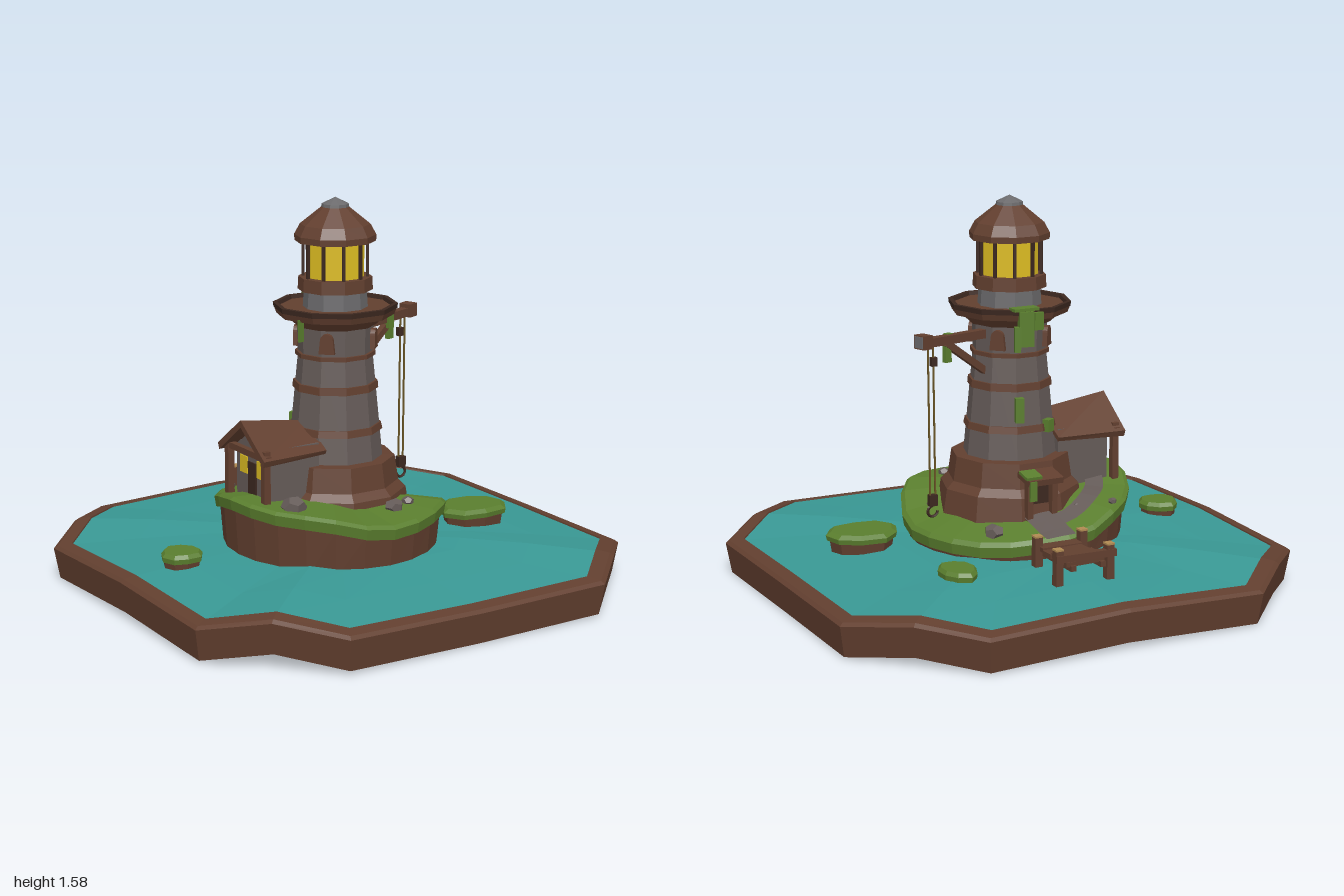
import * as THREE from 'three';

const mat = (name, color, side = THREE.FrontSide) => {
  const m = new THREE.MeshStandardMaterial({ color, side });
  m.name = name;
  return m;
};

export function createModel() {
  const root = new THREE.Group();
  root.name = 'lighthouseIsland';
  const wood = mat('brown', 0x623f2f), dark = mat('darkBrown', 0x3c2820);
  const stone = mat('stoneGrey', 0x655b58), slate = mat('slate', 0x6b6a6c);
  const grass = mat('grassGreen', 0x5a7e2e), water = mat('waterTeal', 0x399894);
  const glow = mat('lampYellow', 0xdcbc22), cut = mat('cutWood', 0xb08a52);
  const rope = mat('rope', 0x6a5626);

  // Helpers: every part is faceted
  const add = (name, geo, material, x = 0, y = 0, z = 0, parent = root) => {
    const g = geo.index ? geo.toNonIndexed() : geo;
    g.computeVertexNormals();
    const m = new THREE.Mesh(g, material);
    m.name = name;
    m.position.set(x, y, z);
    parent.add(m);
    return m;
  };
  const box = (name, w, h, d, material, x, y, z, parent) =>
    add(name, new THREE.BoxGeometry(w, h, d), material, x, y, z, parent);
  const beam = (name, a, b, w, h, material) => {
    const p = new THREE.Vector3(...a), q = new THREE.Vector3(...b);
    const m = box(name, w, h, p.distanceTo(q), material, ...p.clone().lerp(q, 0.5).toArray());
    m.lookAt(q);
    return m;
  };
  // Skin over rows of points, outside first, running from +x towards +z
  const loft = (rows, closed = true) => {
    const n = rows[0].length, idx = [];
    for (let i = 0; i < rows.length - 1; i++)
      for (let j = 0; j < (closed ? n : n - 1); j++) {
        const a = i * n + j, b = i * n + (j + 1) % n;
        idx.push(a, a + n, b, b, a + n, b + n);
      }
    const g = new THREE.BufferGeometry();
    g.setAttribute('position', new THREE.Float32BufferAttribute(rows.flat(2), 3));
    g.setIndex(idx);
    return g;
  };

  // Octagonal tray with a gently waving rim
  const outline = [[1, 0], [1, .59], [.8, .8], [.59, 1], [0, 1], [-.59, 1], [-.8, .8], [-1, .59],
    [-1, 0], [-1, -.59], [-.8, -.8], [-.59, -1], [0, -1], [.59, -1], [.8, -.8], [1, -.59]];
  const lift = [0, -.005, .03, .005, 0, .01, .055, .005, .02, 0, .03, 0, .02, 0, .03, 0];
  const oct = (s, y, k = 1) => outline.map(([x, z], i) => [x * s, y + lift[i] * k, z * s]);
  add('trayWall', loft([oct(0, .03, 0), oct(.98, .005), oct(1, .13), oct(.985, .142), oct(.935, .152), oct(.93, .13)]), wood);
  add('water', loft([oct(.936, .146), oct(.7, .168, .7), oct(.45, .185, .3), oct(0, .185, 0)]), water);

  // Main island: edge height changes with direction
  const CX = -.06, CZ = .04, R = .47, N = 24;
  const edge = [.26, .37, .35, .41, .43, .36, .28, .255];
  const edgeY = a => {
    const t = ((a / (Math.PI / 4)) % 8 + 8) % 8, i = Math.floor(t);
    const f = (1 - Math.cos((t - i) * Math.PI)) / 2;
    return edge[i] * (1 - f) + edge[(i + 1) % 8] * f;
  };
  const groundY = (x, z) => {
    const f = Math.min(1, Math.hypot(x - CX, z - CZ) / R);
    return THREE.MathUtils.lerp(.4, edgeY(Math.atan2(z - CZ, x - CX)), f);
  };
  const isle = (f, fy) => Array.from({ length: N }, (_, j) => {
    const a = j / N * Math.PI * 2;
    return [CX + Math.cos(a) * R * f, fy(a), CZ + Math.sin(a) * R * f];
  });
  add('islandCliff', loft([isle(.92, () => .15), isle(.95, a => edgeY(a) - .05), isle(.8, a => edgeY(a) - .03)]), wood);
  const slope = f => a => THREE.MathUtils.lerp(.4, edgeY(a), f);
  add('islandGrass', loft([isle(.9, a => edgeY(a) - .06), isle(.985, a => edgeY(a) - .055),
    isle(1, a => edgeY(a) - .012), isle(.965, slope(.965)), isle(.6, slope(.6)), isle(0, () => .4)]), grass);

  // Stone paths lying on the grass
  const onGround = (x, z) => [x, groundY(x, z) + .012, z];
  const arcRow = r => Array.from({ length: 10 }, (_, j) => {
    const a = THREE.MathUtils.degToRad(198 + j * 8);
    return onGround(-.03 + Math.cos(a) * r, .03 + Math.sin(a) * r);
  });
  add('curvedPath', loft([.385, .35, .31].map(arcRow), false), stone);
  add('straightPath', loft([-.44, -.38, -.31, -.22].map(z => [-.08, -.02, .05].map(x => onGround(x, z))), false), stone);

  // Islets
  for (const [x, z, rx, rz, top, turn] of [[-.73, 0, .085, .085, .235, .3], [.43, -.42, .075, .1, .225, .4], [.58, .14, .155, .12, .25, .2]]) {
    const ring = (s, y) => Array.from({ length: 9 }, (_, j) => {
      const a = j / 9 * Math.PI * 2 + turn, k = s * (1 + .07 * Math.sin(j * 2.3));
      return [Math.cos(a) * rx * k, y, Math.sin(a) * rz * k];
    });
    add('isletRock', loft([ring(.82, .14), ring(.9, top - .03), ring(.7, top - .025)]), wood, x, 0, z);
    add('isletGrass', loft([ring(.8, top - .04), ring(.97, top - .035), ring(1, top - .015), ring(.85, top), ring(0, top)]), grass, x, 0, z);
  }

  // Boulders
  for (const [x, z, r] of [[-.37, .26, .052], [.04, .35, .04], [.12, .33, .026], [.19, -.26, .042], [.28, .13, .017], [-.32, -.31, .018], [-.18, -.26, .015]]) {
    const m = add('boulder', new THREE.DodecahedronGeometry(r), stone, x, groundY(x, z) + r * .2, z);
    m.scale.y = .8;
    m.rotation.y = x * 9;
  }

  // Tower, stacked on one axis
  const tower = new THREE.Group();
  tower.name = 'tower';
  tower.position.set(-.03, 0, .03);
  root.add(tower);
  const SIDES = 10;
  const turned = (name, pts, material) => {
    const g = new THREE.LatheGeometry(pts.map(p => new THREE.Vector2(...p)), SIDES, Math.PI / SIDES);
    return add(name, g, material, 0, 0, 0, tower);
  };
  const band = (name, r0, r1, y0, y1, material) => turned(name, [[0, y0], [r0, y0], [r1, y1], [0, y1]], material);
  turned('foundation', [[.305, .27], [.285, .4], [.255, .43], [.24, .53], [0, .535]], wood);
  turned('towerWall', [[.19, .53], [.15, .95], [.155, 1.1]], stone);
  band('lowerBand', .19, .184, .64, .668, wood);
  band('middleBand', .173, .17, .81, .84, wood);
  band('upperBand', .162, .162, .945, .962, wood);
  band('galleryBracket', .165, .215, 1.07, 1.115, wood);
  band('galleryFloor', .235, .247, 1.11, 1.14, wood);
  turned('galleryRim', [[.247, 1.135], [.25, 1.155], [.232, 1.155], [.228, 1.14]], dark);
  band('lanternFoot', .13, .125, 1.14, 1.215, slate);
  band('lanternSill', .15, .147, 1.21, 1.262, wood);
  band('lamp', .115, .115, 1.26, 1.415, glow);
  for (let i = 0; i < SIDES; i++) {
    const a = (i + .5) / SIDES * Math.PI * 2;
    box('lanternBar', .012, .16, .012, dark, Math.sin(a) * .128, 1.335, Math.cos(a) * .128, tower).rotation.y = a;
  }
  turned('lanternRoof', [[0, 1.405], [.162, 1.405], [.163, 1.43], [.14, 1.472], [.055, 1.54], [0, 1.54]], wood);
  turned('roofCap', [[.045, 1.53], [.056, 1.535], [.054, 1.552], [0, 1.578]], slate);

  // Arched shutters below the gallery
  const arch = new THREE.Shape();
  arch.moveTo(-.032, 0);
  arch.lineTo(.032, 0);
  arch.lineTo(.026, .055);
  arch.absarc(0, .055, .026, 0, Math.PI);
  for (const deg of [45, 135, 225, 315]) {
    const a = THREE.MathUtils.degToRad(deg);
    const g = new THREE.ExtrudeGeometry(arch, { depth: .02, bevelEnabled: false, curveSegments: 5 });
    add('shutter', g, wood, Math.sin(a) * .147, .977, Math.cos(a) * .147, tower).rotation.y = a;
  }

  // Entrance porch at the back
  for (const x of [-.075, .035]) box('porchPost', .025, .17, .03, wood, x, .4, -.26);
  box('door', .09, .15, .02, dark, -.02, .4, -.235);
  box('porchRoof', .155, .025, .1, wood, -.02, .485, -.255).rotation.x = -.2;
  box('porchMoss', .07, .012, .07, grass, .03, .502, -.265).rotation.x = -.2;
  box('porchVine', .03, .08, .012, grass, .04, .445, -.306);

  // Shed with a gabled, sloping ridge
  box('shedWall', .23, .25, .25, stone, -.3, .5, .025);
  const gable = new THREE.Shape([[-.12, 0], [.12, 0], [0, .09]].map(p => new THREE.Vector2(...p)));
  const gableGeo = new THREE.ExtrudeGeometry(gable, { depth: .2, bevelEnabled: false });
  add('shedGable', gableGeo.rotateY(Math.PI / 2), stone, -.415, .6, .025);
  const chevron = new THREE.Shape([[-.18, 0], [-.17, -.025], [0, .1], [.17, -.025], [.18, 0], [0, .13]].map(p => new THREE.Vector2(...p)));
  const roofGeo = new THREE.ExtrudeGeometry(chevron, { depth: .3, bevelEnabled: false }).rotateY(Math.PI / 2);
  const rp = roofGeo.attributes.position;
  for (let i = 0; i < rp.count; i++)
    if (rp.getX(i) > .1) rp.setXYZ(i, rp.getX(i), rp.getY(i) * .68, rp.getZ(i) * .88);
  add('shedRoof', roofGeo, wood, -.47, .6, .025);
  for (const z of [-.115, .165]) {
    box('shedPost', .028, .26, .028, wood, -.44, .5, z);
    box('shedWindow', .006, .07, .055, glow, -.417, .53, .025 + Math.sign(z) * .065);
  }
  box('shedBeam', .025, .025, .33, wood, -.44, .6, .025);
  box('shedDoor', .008, .16, .06, dark, -.417, .47, .025);

  // Crane with rope, pulley and hook
  beam('craneBeam', [.08, 1.035, 0], [.43, 1.045, -.115], .035, .035, wood);
  beam('craneEnd', [.4, 1.05, -.105], [.445, 1.052, -.12], .055, .055, wood);
  beam('craneEndGrain', [.444, 1.052, -.1196], [.449, 1.052, -.121], .045, .045, slate);
  beam('craneStrut', [.1, .88, -.01], [.31, 1.03, -.075], .025, .028, wood);
  beam('ropeLeft', [.375, 1.04, -.1], [.37, .4, -.1], .006, .006, rope);
  beam('ropeRight', [.4, 1.04, -.105], [.395, .4, -.105], .006, .006, rope);
  box('pulley', .025, .035, .02, dark, .373, .965, -.1);
  box('hookBlock', .035, .045, .025, dark, .383, .405, -.102);
  add('hook', new THREE.TorusGeometry(.022, .006, 5, 10, Math.PI * 1.5), dark, .383, .36, -.102).rotation.z = Math.PI;

  // Hanging vines
  for (const [x, y, z, w, h] of [[.3, 1.0, -.072, .02, .1], [.285, 1.03, -.05, .025, .06], [.02, 1.08, -.205, .06, .14],
    [.055, 1.04, -.2, .025, .1], [-.03, 1.11, -.21, .04, .07], [-.235, 1.075, .1, .008, .09], [.02, .74, -.152, .035, .1], [-.12, .66, -.135, .04, .05]])
    box('vine', w, h, .03, grass, x, y, z).rotation.y = -Math.atan2(x + .03, .03 - z);
  box('galleryMoss', .11, .012, .05, grass, .02, 1.158, -.19);

  // Dock
  for (let i = 0; i < 4; i++)
    box('dockPlank', .175, .018, .058, wood, .01 + (i % 2) * .006, .262 - (i % 2) * .004, -.465 - i * .063).rotation.y = (i % 2 ? .04 : -.03);
  for (const x of [-.055, .075]) box('dockRail', .022, .022, .27, wood, x, .243, -.56);
  for (const [x, z, top] of [[-.085, -.685, .32], [.13, -.67, .32], [-.1, -.45, .31], [.1, -.45, .31]]) {
    box('dockPost', .032, top - .14, .032, wood, x, (top + .14) / 2, z);
    box('postTop', .034, .007, .034, cut, x, top, z);
  }
  beam('dockCrossbeam', [-.11, .285, -.69], [.145, .285, -.675], .03, .028, wood);
  return root;
}
